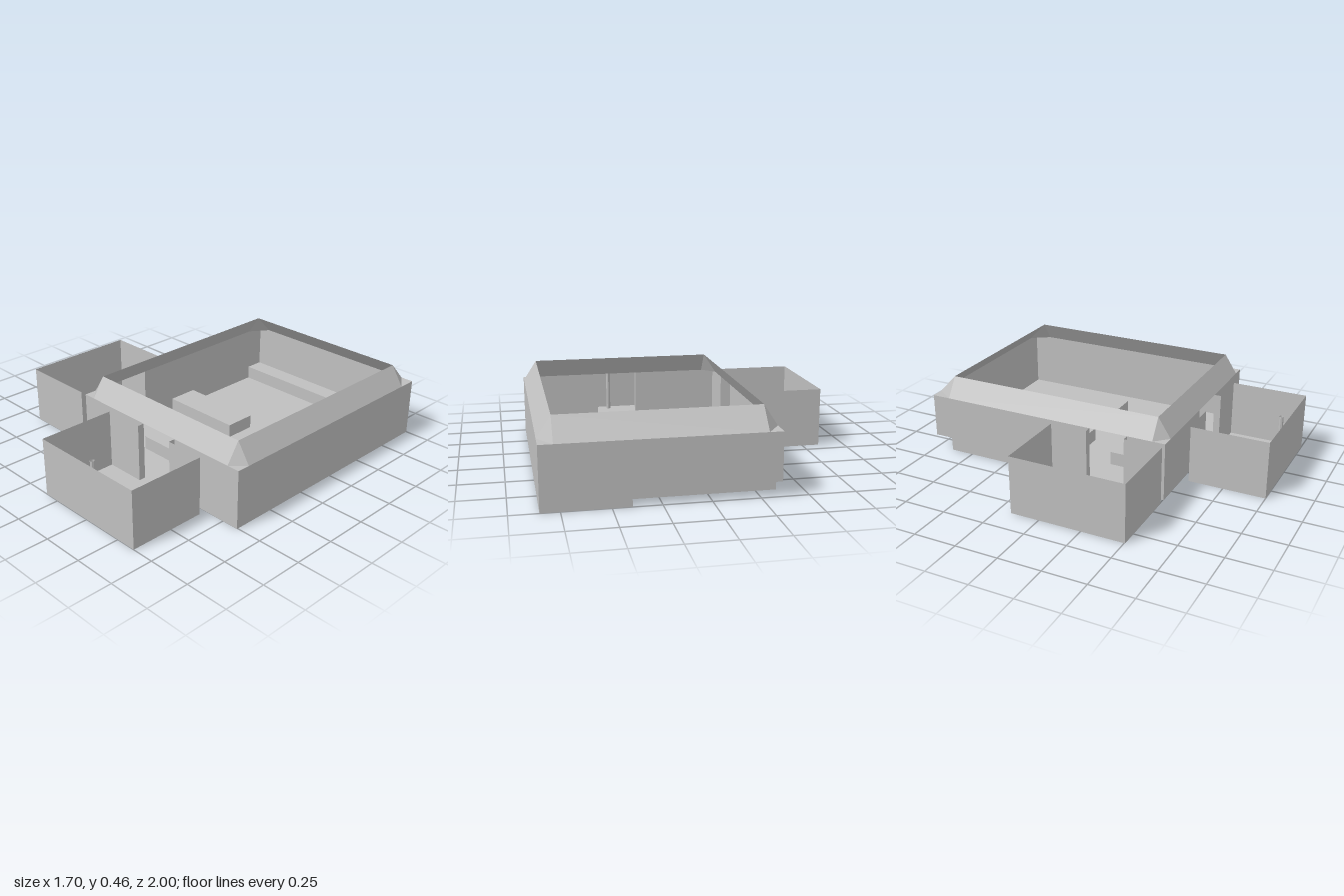
import * as THREE from 'three';

const grey = new THREE.MeshStandardMaterial({ color: 0xbfbfbf, side: THREE.DoubleSide, flatShading: true });
grey.name = 'plain grey';

const WALL = 0.34, RIM = 0.455, STEP = 0.08;
const room = { x0: -0.36, x1: 0.85, z0: -1, z1: 0.505 };
const rimTop = { x0: -0.285, x1: 0.775, z0: -0.89, z1: 0.43 };

// flat convex faces, each a list of corners
function faces(name, list) {
  const pos = [];
  for (const f of list)
    for (let i = 1; i < f.length - 1; i++) pos.push(...f[0], ...f[i], ...f[i + 1]);
  const g = new THREE.BufferGeometry();
  g.setAttribute('position', new THREE.Float32BufferAttribute(pos, 3));
  g.computeVertexNormals();
  const m = new THREE.Mesh(g, grey);
  m.name = name;
  return m;
}

// vertical sheets following a path of [x, z] points
function walls(name, path, y0 = 0, y1 = WALL) {
  const list = [];
  for (let i = 0; i < path.length - 1; i++) {
    const [ax, az] = path[i], [bx, bz] = path[i + 1];
    list.push([[ax, y0, az], [bx, y0, bz], [bx, y1, bz], [ax, y1, az]]);
  }
  return faces(name, list);
}

// horizontal sheet from an [x, z] outline with optional holes
function sheet(name, outline, y = 0, holes = []) {
  const s = new THREE.Shape(outline.map(p => new THREE.Vector2(...p)));
  for (const h of holes) s.holes.push(new THREE.Path(h.map(p => new THREE.Vector2(...p))));
  const m = new THREE.Mesh(new THREE.ShapeGeometry(s).rotateX(Math.PI / 2), grey);
  m.position.y = y;
  m.name = name;
  return m;
}

const rect = (x0, x1, z0, z1) => [[x0, z0], [x1, z0], [x1, z1], [x0, z1]];

export function createModel() {
  const model = new THREE.Group();
  model.name = 'roomLayout';
  const { x0, x1, z0, z1 } = room;

  // main floor, cut away beneath the raised platforms
  const long = rect(-0.105, 0.62, 0.055, 0.28);
  const tall = rect(0.4, 0.62, -0.605, -0.175);
  const side = rect(x0, 0.145, -0.36, -0.175);
  const back = rect(x0, 0.4, z0, -0.89);
  model.add(sheet('mainFloor', [
    [0.4, z0], [x1, z0], [x1, z1], [x0, z1],
    [x0, -0.175], [0.145, -0.175], [0.145, -0.36], [x0, -0.36],
    [x0, -0.89], [0.4, -0.89]], 0, [long, tall]));

  // platforms, hollow underneath; two of them open through the outer walls
  model.add(
    sheet('longPlatformTop', long, STEP), walls('longPlatformSides', [...long, long[0]], 0, STEP),
    sheet('tallPlatformTop', tall, STEP), walls('tallPlatformSides', [...tall, tall[0]], 0, STEP),
    sheet('sidePlatformTop', side, STEP), walls('sidePlatformSides', side, 0, STEP),
    sheet('backPlatformTop', back, STEP), walls('backPlatformSides', back.slice(1), 0, STEP));

  // main walls with two doorways and low notches
  const dz0 = 0.05, dz1 = 0.28, dx0 = 0.145, dx1 = 0.39;
  model.add(
    walls('mainWallsLeft', [[0.4, z0], [x1, z0], [x1, z1], [dx1, z1]]),
    walls('mainWallsCorner', [[dx0, z1], [x0, z1], [x0, dz1]]),
    walls('mainWallRight', [[x0, dz0], [x0, -0.175]]),
    walls('mainWallRightBack', [[x0, -0.36], [x0, -0.89]]),
    walls('wallAboveSideNotch', [[x0, -0.175], [x0, -0.36]], STEP),
    walls('wallAboveBackNotch', [[x0, -0.89], [x0, z0], [0.4, z0]], STEP));

  // sloping rim along the four walls
  const r = rimTop;
  const slopes = [];
  for (const [zo, zi] of [[z0, r.z0], [z1, r.z1]])
    slopes.push([[r.x0, WALL, zo], [r.x1, WALL, zo], [r.x1, RIM, zi], [r.x0, RIM, zi]]);
  for (const [xo, xi] of [[x0, r.x0], [x1, r.x1]])
    slopes.push([[xo, WALL, r.z0], [xo, WALL, r.z1], [xi, RIM, r.z1], [xi, RIM, r.z0]]);
  model.add(faces('rimSlopes', slopes));

  // rim corners: a slanted facet with a small flat ledge
  const corners = [];
  for (const [xo, xi] of [[x0, r.x0], [x1, r.x1]])
    for (const [zo, zi] of [[z0, r.z0], [z1, r.z1]]) {
      const a = [xi, WALL, zo], b = [xo, WALL, zi];
      corners.push([[xi, RIM, zi], a, b], [a, [xo, WALL, zo], b]);
    }
  model.add(faces('rimCorners', corners));

  // side room and its doorway passage
  const ax = -0.85, bx = -0.4, az = -0.17;
  model.add(
    sheet('sideRoomFloor', rect(ax, bx, az, z1)),
    walls('sideRoomWalls', [[bx, dz0], [bx, az], [ax, az], [ax, z1], [bx, z1], [bx, dz1]]),
    sheet('sidePassageFloor', rect(bx, x0, dz0, dz1)),
    walls('sidePassageWallBack', [[bx, dz0], [x0, dz0]]),
    walls('sidePassageWallFront', [[bx, dz1], [x0, dz1]]));

  // front room and its doorway passage
  const fx0 = -0.095, fx1 = 0.62, fz = 0.545, px = 0.265, pz = 0.955, pr = 0.013;
  const ring = Array.from({ length: 8 }, (_, i) => {
    const t = i * Math.PI / 4;
    return [px + pr * Math.sin(t), pz + pr * Math.cos(t)];
  });
  model.add(
    sheet('frontRoomFloor', rect(fx0, fx1, fz, 1), 0, [ring]),
    walls('frontRoomWalls', [[dx0, fz], [fx0, fz], [fx0, 1], [fx1, 1], [fx1, fz], [dx1, fz]]),
    sheet('frontPassageFloor', rect(dx0, dx1, z1, fz)),
    walls('frontPassageWallRight', [[dx0, z1], [dx0, fz]]),
    walls('frontPassageWallLeft', [[dx1, z1], [dx1, fz]]));

  // thin hollow post in the front room
  const post = new THREE.Mesh(new THREE.CylinderGeometry(pr, pr, WALL, 8, 1, true), grey);
  post.position.set(px, WALL / 2, pz);
  post.name = 'hollowPost';
  model.add(post);

  return model;
}
